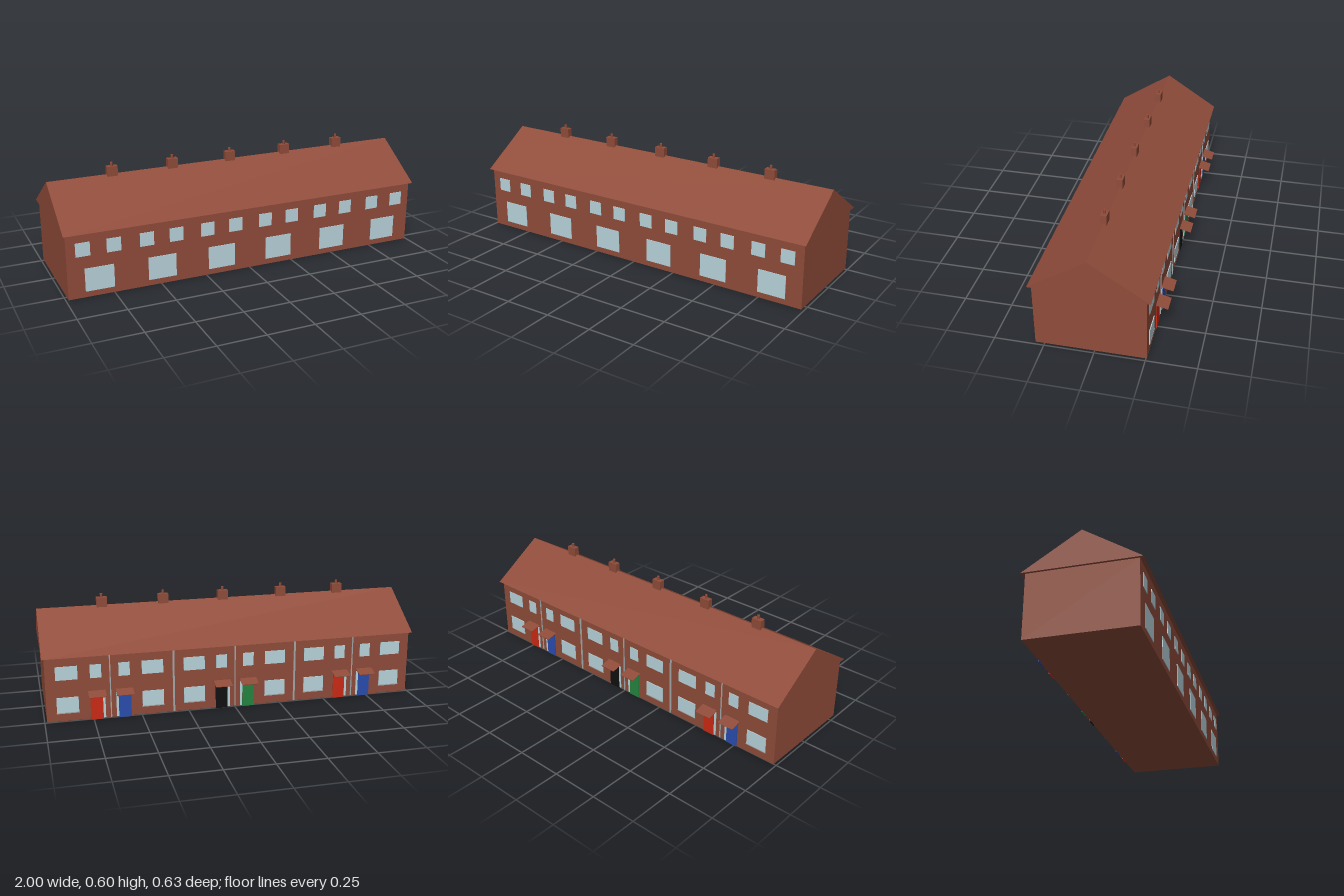
import * as THREE from 'three';

const mat = (name, color) => {
  const m = new THREE.MeshStandardMaterial({ color });
  m.name = name;
  return m;
};

export function createModel() {
  const group = new THREE.Group();
  const brick = mat('brick', 0x904c3a);
  const glass = mat('glass', 0xb9d4dc);
  const pipeGrey = mat('pipeGrey', 0xa4a8a8);
  const red = mat('redPaint', 0xcc2a14);
  const blue = mat('bluePaint', 0x2a4cae);
  const green = mat('greenPaint', 0x25853f);
  const black = mat('blackPaint', 0x101010);

  const FRONT = 0.295, BACK = -0.255, EAVES = 0.346;

  // Box given by its minimum and maximum on each axis
  const box = (name, m, x0, x1, y0, y1, z0, z1) => {
    const mesh = new THREE.Mesh(new THREE.BoxGeometry(x1 - x0, y1 - y0, z1 - z0), m);
    mesh.position.set((x0 + x1) / 2, (y0 + y1) / 2, (z0 + z1) / 2);
    mesh.name = name;
    group.add(mesh);
    return mesh;
  };
  const frontPane = (name, x, w, y0, y1) =>
    box(name, glass, x - w / 2, x + w / 2, y0, y1, FRONT - 0.002, FRONT + 0.003);
  // Panel on the back wall, centred on x
  const backPanel = (name, m, x, w, y0, y1, out = 0.003) =>
    box(name, m, x - w / 2, x + w / 2, y0, y1, BACK - out, BACK + 0.002);

  // Main block
  box('walls', brick, -0.988, 0.988, 0.004, EAVES, BACK, FRONT);

  // Gabled roof: triangular section swept along x
  const gable = new THREE.Shape([
    new THREE.Vector2(-0.315, EAVES),
    new THREE.Vector2(0.275, EAVES),
    new THREE.Vector2(-0.02, 0.535),
  ]);
  const roofGeo = new THREE.ExtrudeGeometry(gable, { depth: 2, bevelEnabled: false });
  roofGeo.translate(0, 0, -1);
  roofGeo.rotateY(Math.PI / 2);
  const roof = new THREE.Mesh(roofGeo, brick);
  roof.name = 'roof';
  group.add(roof);

  // Chimneys on the ridge above each party wall
  for (let i = -2; i <= 2; i++) {
    const x = i * 0.33;
    box('chimney', brick, x - 0.028, x + 0.028, 0.515, 0.577, 0.005, 0.036);
    const pot = new THREE.Mesh(new THREE.CylinderGeometry(0.007, 0.007, 0.024, 12), brick);
    pot.position.set(x, 0.585, 0.021);
    pot.name = 'chimneyPot';
    group.add(pot);
    // Downpipe on the back wall
    backPanel('downpipe', pipeGrey, x, i % 2 ? 0.01 : 0.006, 0.006, EAVES, 0.004);
  }

  // Front windows, one large and two small for each house
  for (let i = 0; i < 6; i++) {
    const x = (i - 2.5) * 0.33;
    frontPane('frontLowerWindow', x, 0.15, 0.035, 0.158);
    for (const s of [-1, 1]) frontPane('frontUpperWindow', x + s * 0.079, 0.074, 0.225, 0.297);
  }

  // Back: mirrored pairs of houses, each with door, side light, canopy and windows
  const pairs = [
    { x: 0.66, doors: { 1: red, '-1': blue } },
    { x: 0, doors: { 1: black, '-1': green } },
    { x: -0.66, doors: { 1: red, '-1': blue } },
  ];
  for (const pair of pairs) {
    for (const s of [-1, 1]) {
      const at = (d) => pair.x + s * d;
      backPanel('door', pair.doors[s], at(0.073), 0.064, 0, 0.142, 0.004);
      backPanel('sideLight', glass, at(0.034), 0.012, 0.006, 0.142);
      backPanel('backLowerWindow', glass, at(0.22), 0.112, 0.05, 0.132, 0.004);
      backPanel('windowSill', pipeGrey, at(0.22), 0.116, 0.046, 0.051, 0.005);
      backPanel('backUpperWindow', glass, at(0.22), 0.112, 0.225, 0.297, 0.002);
      backPanel('backSmallWindow', glass, at(0.073), 0.058, 0.225, 0.297, 0.002);

      // Sloping door canopy
      const canopy = new THREE.Mesh(new THREE.BoxGeometry(0.09, 0.003, 0.063), brick);
      canopy.position.set(at(0.071), 0.147, -0.285);
      canopy.rotation.x = -Math.atan2(0.016, 0.061);
      canopy.name = 'doorCanopy';
      group.add(canopy);
    }
  }
  return group;
}
